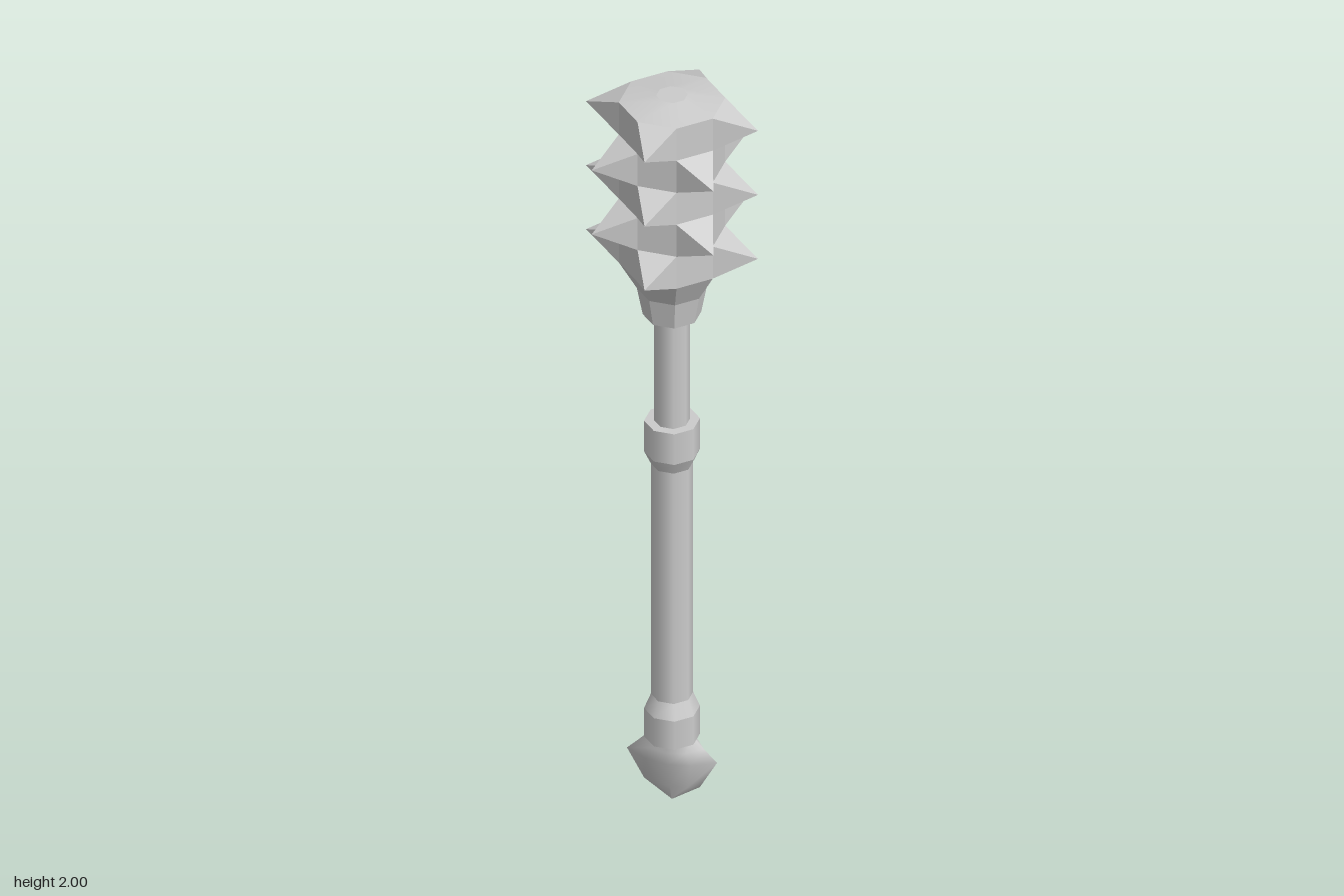
import * as THREE from 'three';

const SIDES = 8;
const CORNER = 1 / Math.cos(Math.PI / SIDES); // flat-to-flat radius -> corner radius

const smooth = new THREE.MeshStandardMaterial({ color: 0xcccccc });
const faceted = new THREE.MeshStandardMaterial({ color: 0xcccccc, flatShading: true });

// Octagonal section with a flat side facing front, from y0 (radius r0) to y1 (radius r1)
function section(name, y0, r0, y1, r1, material = smooth, open = false) {
  const geo = new THREE.CylinderGeometry(
    r1 * CORNER, r0 * CORNER, y1 - y0, SIDES, 1, open, Math.PI / SIDES);
  geo.translate(0, (y0 + y1) / 2, 0);
  const mesh = new THREE.Mesh(geo, material);
  mesh.name = name;
  return mesh;
}

// Wedge-shaped pommel with two side points, lofted through [y, halfWidth, halfDepth, fullness]
function pommelGeometry() {
  const levels = [
    [0.0, 0.003, 0.002, 0.7],
    [0.045, 0.07, 0.017, 0.6],
    [0.122, 0.113, 0.043, 0.5],
    [0.155, 0.08, 0.045, 0.55],
    [0.185, 0.052, 0.045, 0.7],
  ];
  const n = 8, pos = [], idx = [];
  for (const [y, w, d, full] of levels) {
    for (let i = 0; i < n; i++) {
      const a = (i / n) * Math.PI * 2;
      const k = i % 2 ? full / Math.SQRT1_2 : 1;
      const kz = i % 2 ? 0.75 / Math.SQRT1_2 : 1;
      pos.push(Math.cos(a) * w * k, y, Math.sin(a) * d * kz);
    }
  }
  for (let l = 0; l < levels.length - 1; l++) {
    for (let i = 0; i < n; i++) {
      const a = l * n + i, b = l * n + (i + 1) % n;
      idx.push(a, a + n, b, b, a + n, b + n);
    }
  }
  // Close the bottom
  for (let i = 1; i < n - 1; i++) idx.push(0, i, i + 1);
  const geo = new THREE.BufferGeometry();
  geo.setAttribute('position', new THREE.Float32BufferAttribute(pos, 3));
  geo.setIndex(idx);
  geo.computeVertexNormals();
  return geo;
}

export function createModel() {
  const model = new THREE.Group();
  model.name = 'mace';

  const pommel = new THREE.Mesh(pommelGeometry(), smooth);
  pommel.name = 'pommel';
  model.add(pommel);

  // Handle: grip between two collars, then a thinner shaft
  const handle = new THREE.Group();
  handle.name = 'handle';
  handle.add(
    section('lowerCollar', 0.18, 0.062, 0.26, 0.062),
    section('lowerCollarTaper', 0.26, 0.062, 0.3, 0.047),
    section('grip', 0.3, 0.047, 0.955, 0.047),
    section('upperCollarTaper', 0.955, 0.047, 0.99, 0.062),
    section('upperCollar', 0.99, 0.062, 1.077, 0.062),
    section('shaft', 1.077, 0.04, 1.39, 0.04),
  );
  model.add(handle);

  // Head: flared socket, octagonal core and a low domed cap
  const head = new THREE.Group();
  head.name = 'head';
  const bottom = 1.53, top = 1.985, radius = 0.118;
  head.add(
    section('socket', 1.38, 0.065, 1.455, 0.078, faceted),
    section('socketFlare', 1.455, 0.078, bottom, radius, faceted),
    section('core', bottom, radius, top, radius, faceted),
    section('cap', top, radius, 2, 0.035, smooth),
  );

  // Five rows of four pyramid spikes, alternate rows turned by 45 degrees
  const rows = 5, rowHeight = (top - bottom) / rows;
  const halfWidth = radius * Math.tan(Math.PI / SIDES);
  const length = 0.216 - radius;
  const spikeGeo = new THREE.ConeGeometry(Math.SQRT2, length, 4, 1, true, Math.PI / 4);
  spikeGeo.rotateX(Math.PI / 2);
  spikeGeo.scale(halfWidth, rowHeight / 2, 1);
  spikeGeo.translate(0, 0, radius + length / 2);
  for (let row = 0; row < rows; row++) {
    for (let i = 0; i < 4; i++) {
      const spike = new THREE.Mesh(spikeGeo, faceted);
      spike.name = 'spike';
      spike.position.y = bottom + (row + 0.5) * rowHeight;
      spike.rotation.y = i * Math.PI / 2 + (row % 2) * Math.PI / 4;
      head.add(spike);
    }
  }
  model.add(head);

  return model;
}
